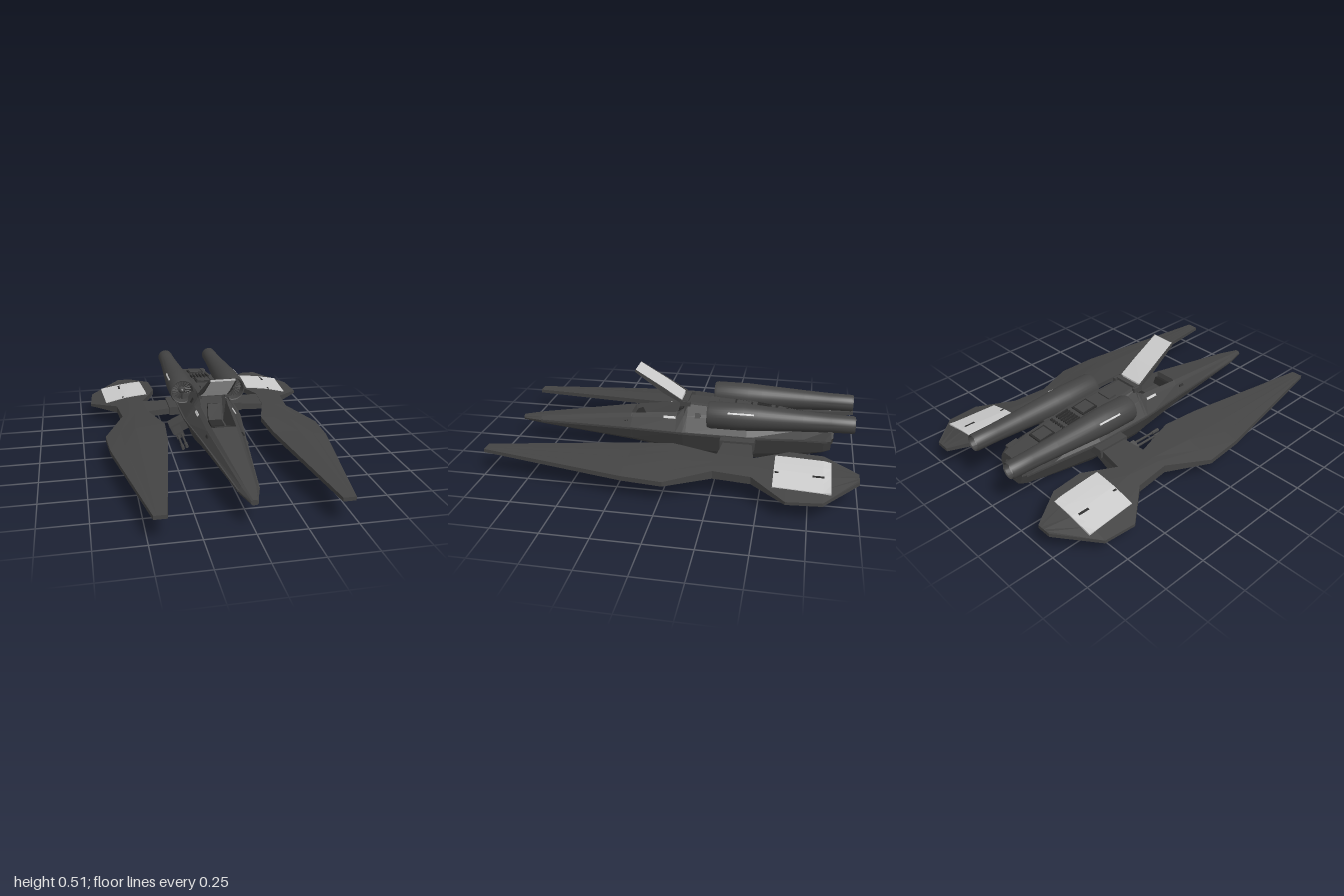
import * as THREE from 'three';
import { toCreasedNormals } from 'three/addons/utils/BufferGeometryUtils.js';

const dark = new THREE.MeshStandardMaterial({ color: 0x444444, flatShading: true });
const black = new THREE.MeshStandardMaterial({ color: 0x2c2c2c, flatShading: true });
const light = new THREE.MeshStandardMaterial({ color: 0xcccccc, flatShading: true });
const smooth = new THREE.MeshStandardMaterial({ color: 0x444444 });

// Skin over closed rings of [x, y, z], ordered front to back, each counter-clockwise seen from +z
function loft(rings) {
  const pos = [];
  const tri = (...p) => p.forEach((v) => pos.push(...v));
  const n = rings[0].length;
  for (let i = 0; i < rings.length - 1; i++) {
    for (let j = 0; j < n; j++) {
      const k = (j + 1) % n;
      const a = rings[i][j], b = rings[i][k], c = rings[i + 1][k], d = rings[i + 1][j];
      tri(a, d, c);
      tri(a, c, b);
    }
  }
  [rings[0], rings[rings.length - 1]].forEach((r, end) => {
    const m = [0, 1, 2].map((c) => r.reduce((s, p) => s + p[c], 0) / n);
    r.forEach((p, j) => (end ? tri(m, r[(j + 1) % n], p) : tri(m, p, r[(j + 1) % n])));
  });
  const g = new THREE.BufferGeometry();
  g.setAttribute('position', new THREE.Float32BufferAttribute(pos, 3));
  g.computeVertexNormals();
  return g;
}

// Four-cornered ring from x0 to x1 and y0 to y1
const rect = (z, x0, x1, y0, y1) => [[x0, y0, z], [x1, y0, z], [x1, y1, z], [x0, y1, z]];

function box(w, h, d, x, y, z, rx = 0, rz = 0) {
  return new THREE.BoxGeometry(w, h, d).rotateX(rx).rotateZ(rz).translate(x, y, z);
}

function flipX(geometry) {
  const g = geometry.index ? geometry.toNonIndexed() : geometry.clone();
  g.scale(-1, 1, 1);
  g.setIndex(Array.from({ length: g.attributes.position.count }, (_, i) => i).reverse());
  return g;
}

// Piecewise straight line through [x, y] points
function along(points, x) {
  let i = 0;
  while (i < points.length - 2 && x > points[i + 1][0]) i++;
  const [a, b] = [points[i], points[i + 1]];
  return a[1] + ((b[1] - a[1]) * (x - a[0])) / (b[0] - a[0]);
}

// Drooping wing surface, thinning toward the front and rear tips
const wingY = (x, z, top) => {
  const y = along(top ? [[0.28, 0.183], [0.45, 0.168], [0.69, 0.113]] : [[0.28, 0.155], [0.48, 0.112], [0.69, 0.098]], x);
  const k = z > 0 ? z : Math.max(0, (-0.82 - z) / 0.18);
  return THREE.MathUtils.lerp(y, top ? 0.15 : 0.13, k);
};

function wingRing(z, x0, x1, panel) {
  const xs = [0, 0.25, 0.5, 0.75, 1].map((t) => x0 + (x1 - x0) * t);
  const low = xs.map((x) => [x, panel ? wingY(x, z, true) - 0.005 : wingY(x, z, false), z]);
  const high = xs.map((x) => [x, wingY(x, z, true) + (panel ? 0.004 : 0), z]);
  return [...low, ...high.reverse()];
}

export function createModel() {
  const model = new THREE.Group();
  const add = (name, g, mat = dark) => {
    const m = new THREE.Mesh(g, mat);
    m.name = name;
    model.add(m);
  };
  const pair = (name, g, mat = dark) => {
    add(name + 'Left', g, mat);
    add(name + 'Right', flipX(g), mat);
  };

  // Hull: z, then half-section points from keel to deck; the deck drops for the cockpit
  const hull = [
    [0.95, 0.01, 0.128, 0.018, 0.135, 0.02, 0.142, 0.016, 0.15, 0.008, 0.155, 0.005, 0.155],
    [0.83, 0.025, 0.118, 0.045, 0.13, 0.052, 0.148, 0.036, 0.168, 0.022, 0.175, 0.015, 0.175],
    [0.27, 0.06, 0.078, 0.09, 0.102, 0.12, 0.175, 0.09, 0.23, 0.068, 0.25, 0.055, 0.25],
    [0.26, 0.06, 0.077, 0.09, 0.101, 0.121, 0.175, 0.091, 0.231, 0.069, 0.25, 0.055, 0.18],
    [0, 0.08, 0.045, 0.11, 0.075, 0.16, 0.185, 0.105, 0.26, 0.08, 0.28, 0.062, 0.17],
    [-0.04, 0.088, 0.037, 0.114, 0.07, 0.164, 0.188, 0.109, 0.268, 0.078, 0.305, 0.062, 0.17],
    [-0.06, 0.09, 0.033, 0.115, 0.07, 0.165, 0.188, 0.11, 0.27, 0.075, 0.33, 0.055, 0.335],
    [-0.4, 0.09, 0.03, 0.12, 0.07, 0.17, 0.19, 0.12, 0.26, 0.08, 0.312, 0.055, 0.315],
    [-0.7, 0.065, 0.065, 0.09, 0.09, 0.13, 0.185, 0.115, 0.24, 0.075, 0.275, 0.055, 0.278],
    [-0.82, 0.05, 0.085, 0.075, 0.1, 0.108, 0.175, 0.1, 0.23, 0.065, 0.255, 0.05, 0.256],
    [-0.86, 0.045, 0.1, 0.065, 0.11, 0.09, 0.17, 0.08, 0.22, 0.055, 0.245, 0.04, 0.246],
  ];
  add('hull', loft(hull.map(([z, ...v]) => {
    const half = [0, 2, 4, 6, 8, 10].map((i) => [v[i], v[i + 1], z]);
    return [...half, ...half.map(([x, y]) => [-x, y, z]).reverse()];
  })));

  // Raised seam along the chine
  pair('chine', loft([[0.83, 0.05, 0.148], [0.27, 0.12, 0.175], [-0.06, 0.165, 0.188], [-0.4, 0.17, 0.19], [-0.7, 0.13, 0.185], [-0.84, 0.1, 0.172]]
    .map(([z, x, y]) => rect(z, x - 0.015, x + 0.005, y - 0.006, y + 0.005))));

  // Cockpit seat and console
  add('seat', box(0.075, 0.025, 0.09, 0, 0.187, 0.06), black);
  add('seatBack', box(0.075, 0.11, 0.02, 0, 0.235, 0, -0.25), black);
  add('console', box(0.09, 0.04, 0.035, 0, 0.215, 0.235, 0.4), black);

  // Raised canopy with side rails and hinge arms
  add('canopy', loft([rect(0.24, -0.068, 0.068, 0.502, 0.513), rect(0.08, -0.073, 0.073, 0.393, 0.417), rect(-0.02, -0.077, 0.077, 0.335, 0.35)]), light);
  pair('canopyRail', loft([rect(0.241, 0.068, 0.074, 0.5, 0.514), rect(0.08, 0.073, 0.081, 0.388, 0.419), rect(-0.03, 0.077, 0.088, 0.333, 0.35)]));
  pair('canopyHinge', box(0.02, 0.025, 0.06, 0.078, 0.333, -0.045));
  add('hingeBar', box(0.15, 0.022, 0.03, 0, 0.338, -0.045));

  // Spine hatches, grille slats and vent holes
  const spineY = (z) => along([[-0.86, 0.246], [-0.82, 0.256], [-0.7, 0.278], [-0.4, 0.315], [-0.06, 0.335]], z);
  const onSpine = (name, w, d, x, z, h, mat) => add(name, box(w, h, d, x, spineY(z) + 0.002, z, -0.12), mat);
  [-0.655, -0.365].forEach((z) => {
    onSpine('hatchFrame', 0.095, 0.1, 0, z, 0.012, black);
    onSpine('hatch', 0.075, 0.08, 0, z, 0.018);
  });
  for (let i = 0; i < 6; i++) {
    onSpine('grilleSlat', 0.009, 0.08, (i - 2.5) * 0.02, -0.48, 0.016, black);
    onSpine('vent', 0.009, 0.014, (i - 2.5) * 0.02, -0.55, 0.016, black);
  }
  onSpine('sensorBlock', 0.09, 0.05, 0, -0.2, 0.016);
  pair('tailFairing', box(0.03, 0.03, 0.07, 0.075, 0.245, -0.79, -0.15));

  // Tail exhaust collar and side markings
  add('tailCollar', toCreasedNormals(new THREE.CylinderGeometry(0.062, 0.05, 0.02, 8).rotateX(Math.PI / 2).translate(0, 0.17, -0.86), 0.5));
  add('tailPort', new THREE.CylinderGeometry(0.038, 0.038, 0.012, 8).rotateX(Math.PI / 2).translate(0, 0.17, -0.868), black);
  pair('sideMarker', box(0.006, 0.014, 0.07, 0.108, 0.255, 0.04, 0, 0.6), light);
  pair('sideVent', box(0.012, 0.03, 0.03, 0.106, 0.275, -0.12, 0, 0.5), black);
  pair('noseVent', box(0.008, 0.012, 0.03, 0.1, 0.215, 0.3, 0, 0.5), black);

  // Engine nacelles, profile from the rear nozzle around to the intake
  const ex = 0.153, ey = 0.31;
  const lathe = (points) => toCreasedNormals(
    new THREE.LatheGeometry(points.map(([r, z]) => new THREE.Vector2(r, z)), 32).rotateX(Math.PI / 2).translate(ex, ey, 0), 0.5);
  pair('engine', lathe([[0, -0.94], [0.036, -0.94], [0.038, -0.97], [0.043, -0.975], [0.047, -0.965], [0.049, -0.85], [0.056, -0.7],
    [0.07, -0.46], [0.075, -0.38], [0.075, -0.2], [0.07, -0.185], [0.064, -0.187], [0.056, -0.25], [0, -0.25]]), smooth);
  pair('nozzleGlow', new THREE.CylinderGeometry(0.036, 0.036, 0.008, 24).rotateX(Math.PI / 2).translate(ex, ey, -0.942), light);
  pair('intakeHub', lathe([[0.022, -0.25], [0.02, -0.225], [0.012, -0.205], [0, -0.198]]), smooth);
  for (let i = 0; i < 20; i++) {
    const a = (i / 20) * Math.PI * 2;
    const blade = new THREE.BoxGeometry(0.04, 0.003, 0.02).rotateX(0.5).translate(0.038, 0, -0.235).rotateZ(a).translate(ex, ey, 0);
    pair('fanBlade', blade);
  }
  pair('engineStripe', box(0.006, 0.01, 0.14, ex + 0.061, 0.35, -0.37, 0, 0.7), light);
  pair('enginePylon', box(0.07, 0.05, 0.35, 0.115, 0.262, -0.4));

  // Wings: z, inner edge, outer edge
  pair('wing', loft([[1, 0.41, 0.475], [0.2, 0.298, 0.612], [-0.02, 0.285, 0.625], [-0.26, 0.355, 0.51], [-0.46, 0.368, 0.53],
    [-0.64, 0.28, 0.685], [-0.82, 0.295, 0.672], [-1, 0.405, 0.485]].map((s) => wingRing(...s))));
  pair('wingPanel', loft([[-0.57, 0.332, 0.59], [-0.64, 0.335, 0.594], [-0.82, 0.348, 0.606], [-0.86, 0.351, 0.608]]
    .map((s) => wingRing(...s, true))), light);
  pair('panelSlot', box(0.012, 0.008, 0.06, 0.492, wingY(0.492, -0.8, true) + 0.002, -0.795, 0, -0.22), black);
  pair('panelNotch', box(0.01, 0.008, 0.02, 0.482, wingY(0.482, -0.59, true) + 0.002, -0.585, 0, -0.22), black);

  // Wing arm widening toward the wing
  const armRing = (z0, z1) => [[0.12, 0.145, z0], [0.4, 0.14, z1], [0.4, 0.172, z1], [0.12, 0.185, z0]];
  pair('wingArm', loft([armRing(-0.29, -0.258), armRing(-0.42, -0.462)]));
  pair('armRoot', box(0.09, 0.05, 0.19, 0.18, 0.167, -0.355));

  // Angled gun mounts with twin barrels under the hull
  pair('gunMount', box(0.14, 0.06, 0.11, 0.15, 0.062, -0.32, 0, -0.44));
  pair('gunBlock', box(0.05, 0.035, 0.14, 0.178, 0.05, -0.22, 0, -0.44));
  [[0.167, 0.055], [0.189, 0.045]].forEach(([x, y]) => {
    pair('gunBarrel', new THREE.CylinderGeometry(0.006, 0.008, 0.26, 8).rotateX(Math.PI / 2).translate(x, y, -0.095));
    pair('gunMuzzle', new THREE.CylinderGeometry(0.01, 0.01, 0.05, 8).rotateX(Math.PI / 2).translate(x, y, 0.015));
  });

  // Belly plate
  add('bellyPlate', box(0.12, 0.012, 0.3, 0, 0.032, -0.23));
  return model;
}
